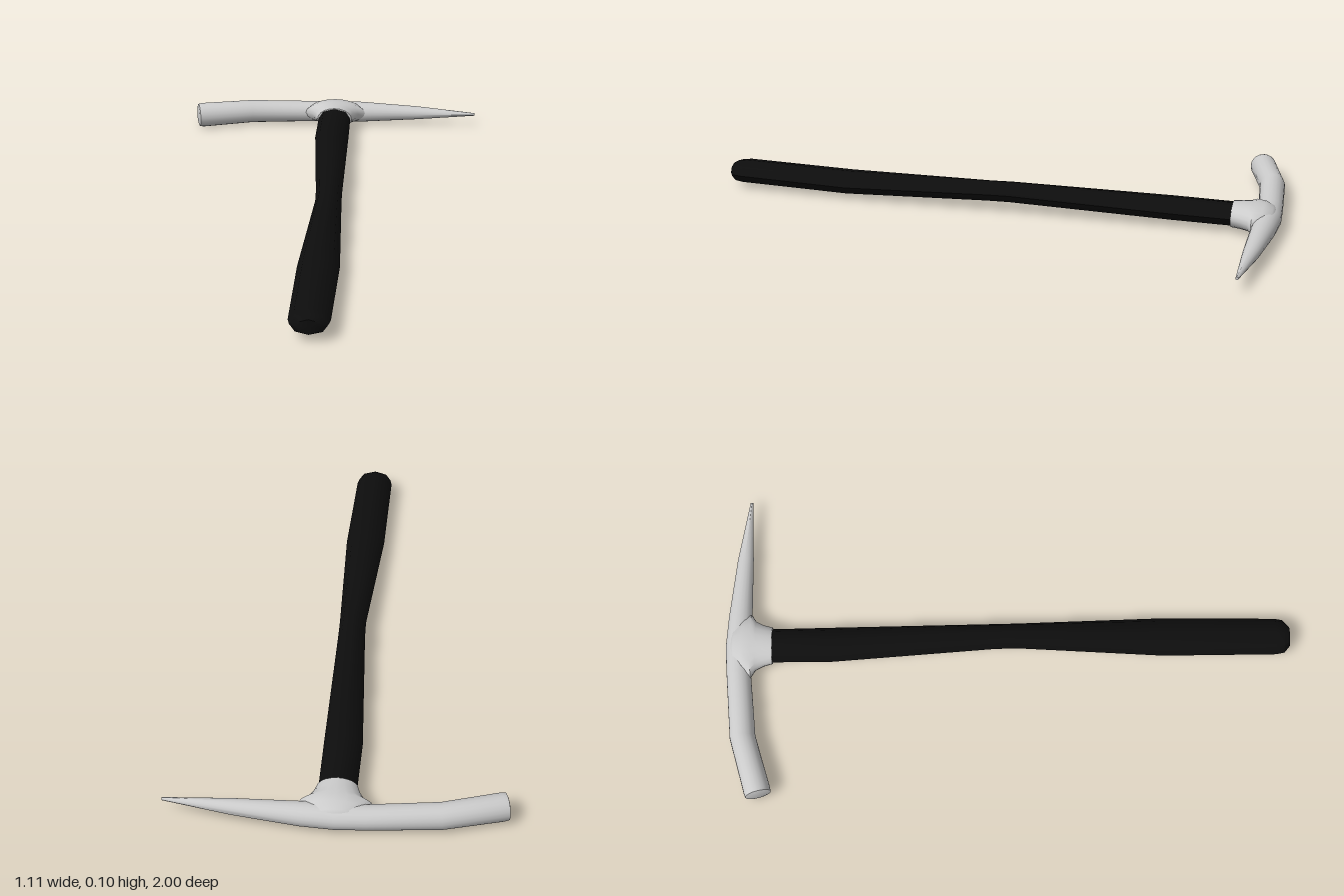
import * as THREE from 'three';
import { toCreasedNormals } from 'three/addons/utils/BufferGeometryUtils.js';

// Skins elliptical rings, each [x0, z0, x1, z1, yBottom, yTop]:
// two opposite points in plan plus the height range. Both ends are capped.
function loft(rings, sides, crease) {
  const pos = [], index = [];
  const mids = rings.map(([x0, z0, x1, z1, yb, yt]) => [(x0 + x1) / 2, (yb + yt) / 2, (z0 + z1) / 2]);
  rings.forEach(([x0, z0, x1, z1, yb, yt], i) => {
    for (let j = 0; j < sides; j++) {
      const t = (j / sides) * Math.PI * 2, c = Math.cos(t) / 2, s = Math.sin(t) / 2;
      pos.push(mids[i][0] + c * (x1 - x0), mids[i][1] + s * (yt - yb), mids[i][2] + c * (z1 - z0));
    }
  });
  const last = (rings.length - 1) * sides, startMid = rings.length * sides;
  pos.push(...mids[0], ...mids[mids.length - 1]);
  for (let j = 0; j < sides; j++) {
    const k = (j + 1) % sides;
    for (let r = 0; r < last; r += sides) {
      index.push(r + j, r + k, r + sides + k, r + j, r + sides + k, r + sides + j);
    }
    index.push(startMid, k, j, startMid + 1, last + j, last + k);
  }
  const geo = new THREE.BufferGeometry();
  geo.setAttribute('position', new THREE.Float32BufferAttribute(pos, 3));
  geo.setIndex(index);
  return toCreasedNormals(geo, crease);
}

export function createModel() {
  const group = new THREE.Group();
  const steel = new THREE.MeshStandardMaterial({ color: 0xcccccc });
  const grip = new THREE.MeshStandardMaterial({ color: 0x0d0d0d });
  const add = (name, geo, mat) => {
    const mesh = new THREE.Mesh(geo, mat);
    mesh.name = name;
    group.add(mesh);
  };

  // Handle: waisted on one side, arched slightly at the middle
  const handle = [
    // z, left x, right x, bottom, top
    [-0.88, -0.062, 0.062, 0.015, 0.095],
    [-0.62, -0.065, 0.063, 0.017, 0.097],
    [-0.05, -0.032, 0.062, 0.03, 0.105],
    [0.03, -0.03, 0.063, 0.029, 0.103],
    [0.55, -0.062, 0.079, 0.01, 0.09],
    [0.95, -0.066, 0.068, 0.014, 0.095],
    [0.98, -0.06, 0.062, 0.018, 0.091],
    [1.0, -0.036, 0.038, 0.028, 0.08],
  ].map(([z, a, b, yb, yt]) => [a, z, b, z, yb, yt]);
  add('handle', loft(handle, 8, 0.9), grip);

  // Head: curved blunt poll at -x, tapering to a pick point at +x
  const head = [
    // front x, front z, back x, back z, bottom, top
    [-0.535, -0.837, -0.553, -0.903, 0.012, 0.082],
    [-0.53, -0.828, -0.553, -0.915, 0.003, 0.091],
    [-0.515, -0.831, -0.54, -0.92, 0.0, 0.094],
    [-0.33, -0.886, -0.34, -0.975, 0.002, 0.09],
    [-0.1, -0.908, -0.1, -0.994, 0.003, 0.083],
    [0, -0.905, 0, -1.0, 0.003, 0.085],
    [0.11, -0.908, 0.11, -0.992, 0.005, 0.083],
    [0.33, -0.909, 0.33, -0.966, 0.023, 0.073],
    [0.555, -0.916, 0.555, -0.926, 0.046, 0.056],
  ];
  add('head', loft(head, 20, 0.8), steel);

  // Collar: flares from the handle into the head
  const collar = [
    // z, half width, bottom, top
    [-0.985, 0.04, 0.03, 0.07],
    [-0.97, 0.075, 0.015, 0.088],
    [-0.94, 0.105, 0.005, 0.099],
    [-0.908, 0.118, 0.006, 0.1],
    [-0.892, 0.092, 0.008, 0.1],
    [-0.865, 0.077, 0.01, 0.1],
    [-0.832, 0.067, 0.012, 0.098],
  ].map(([z, w, yb, yt]) => [-w, z, w, z, yb, yt]);
  add('collar', loft(collar, 20, 0.8), steel);

  return group;
}
